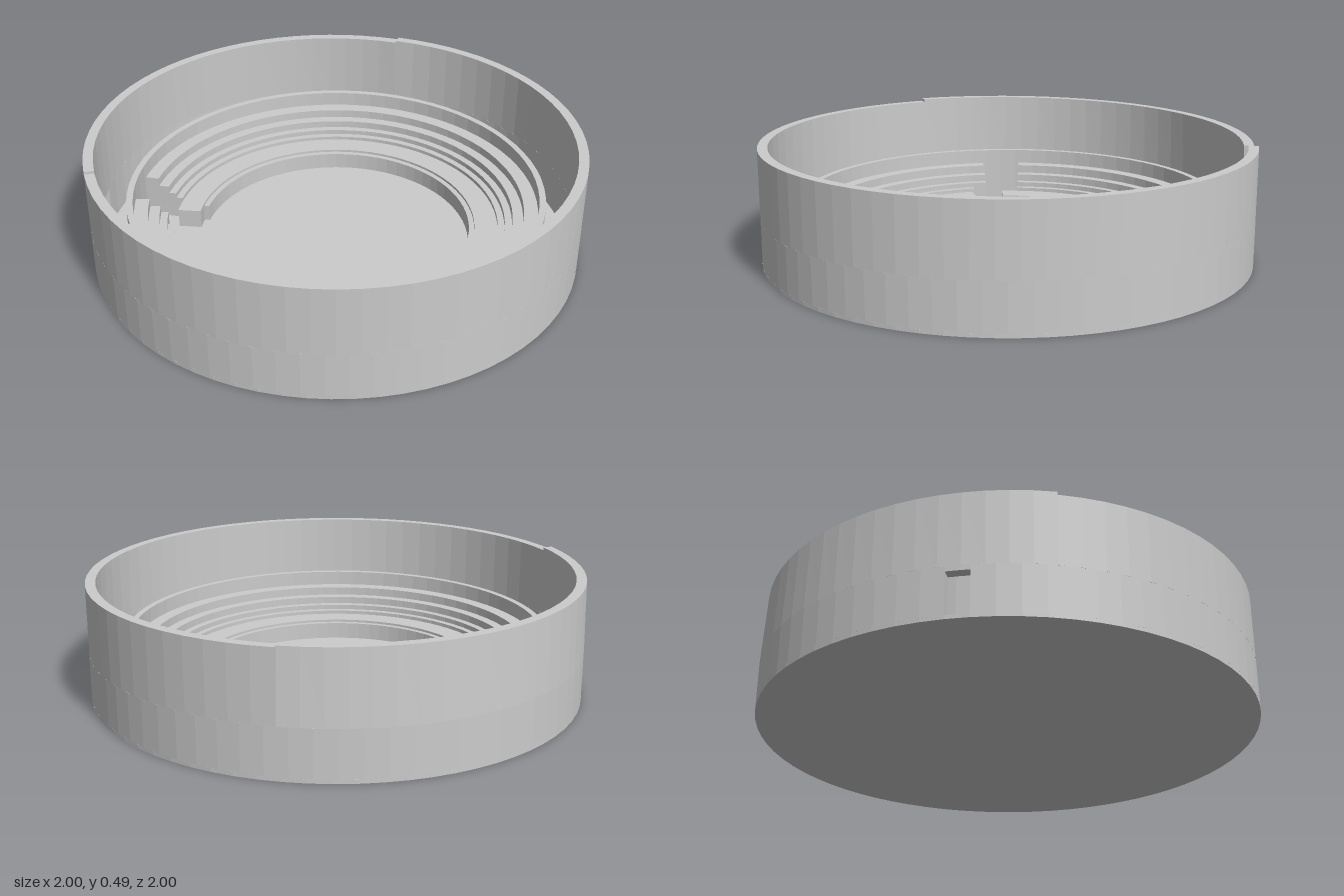
import * as THREE from 'three';

const rad = THREE.MathUtils.degToRad;

export function createModel() {
  const group = new THREE.Group();
  const material = new THREE.MeshStandardMaterial({ color: 0xcccccc, flatShading: true });

  function add(name, geometry) {
    const mesh = new THREE.Mesh(geometry, material);
    mesh.name = name;
    group.add(mesh);
    return mesh;
  }

  // Ring block between two radii, two heights and two angles
  // (degrees, counter-clockwise seen from above, 0 at +x, 90 at -z)
  function sector(name, r0, r1, y0, y1, a0, a1) {
    const shape = new THREE.Shape();
    shape.absarc(0, 0, r1, rad(a0), rad(a1), false);
    shape.absarc(0, 0, r0, rad(a1), rad(a0), true);
    shape.closePath();
    const geometry = new THREE.ExtrudeGeometry(shape, {
      depth: y1 - y0, bevelEnabled: false,
      curveSegments: Math.max(1, Math.ceil((a1 - a0) / 10)),
    });
    geometry.rotateX(-Math.PI / 2).translate(0, y0, 0);
    return add(name, geometry);
  }

  // Floor slab
  const floorHeight = 0.015;
  add('floor', new THREE.CylinderGeometry(1, 1, floorHeight, 72).translate(0, floorHeight / 2, 0));

  // Outer wall: lower band with a doorway, then the upper band
  const wallIn = 0.96, split = 0.2, top = 0.48;
  const tearStart = 79, tearEnd = 202, doorStart = 180, doorEnd = 185;
  sector('lowerWall', wallIn, 1, floorHeight, split, doorEnd, doorStart + 360);
  sector('doorLintel', wallIn, 1, 0.18, split, doorStart, doorEnd);
  sector('upperWall', wallIn, 1, split, top, tearEnd, tearStart + 360);

  // Torn wall stretch: leans inward at one end, rises slightly to the other
  const torn = sector('tornWall', wallIn, 1, split, top, tearStart, tearEnd).geometry;
  const p = torn.attributes.position;
  for (let i = 0; i < p.count; i++) {
    if (p.getY(i) < split + 0.01) continue;
    const x = p.getX(i), z = p.getZ(i), r = Math.hypot(x, z);
    const angle = (THREE.MathUtils.radToDeg(Math.atan2(-z, x)) + 360) % 360;
    const t = (angle - tearStart) / (tearEnd - tearStart);
    const k = (r - 0.018 * (1 - t)) / r;
    p.setXYZ(i, x * k, top + 0.012 * t, z * k);
  }
  torn.computeVertexNormals();

  // Crest behind the seating
  sector('crestBack', 0.827, 0.853, floorHeight, 0.256, 0, 180);
  sector('crestFront', 0.827, 0.853, floorHeight, 0.256, 180, 360);

  // Seating tiers, cut by the entrance passage: inner r, outer r, height, cut start, cut end
  const tiers = [
    [0.77, 0.827, 0.195, 174, 186],
    [0.727, 0.77, 0.16, 174, 186],
    [0.697, 0.727, 0.13, 174, 186],
    [0.67, 0.697, 0.11, 174, 191],
    [0.575, 0.67, 0.095, 180, 192],
    [0.553, 0.575, 0.085, 174, 191.5],
  ];
  tiers.forEach(([r0, r1, h, cut0, cut1], i) =>
    sector(`seatingTier${i + 1}`, r0, r1, floorHeight, h, cut1, cut0 + 360));

  return group;
}
